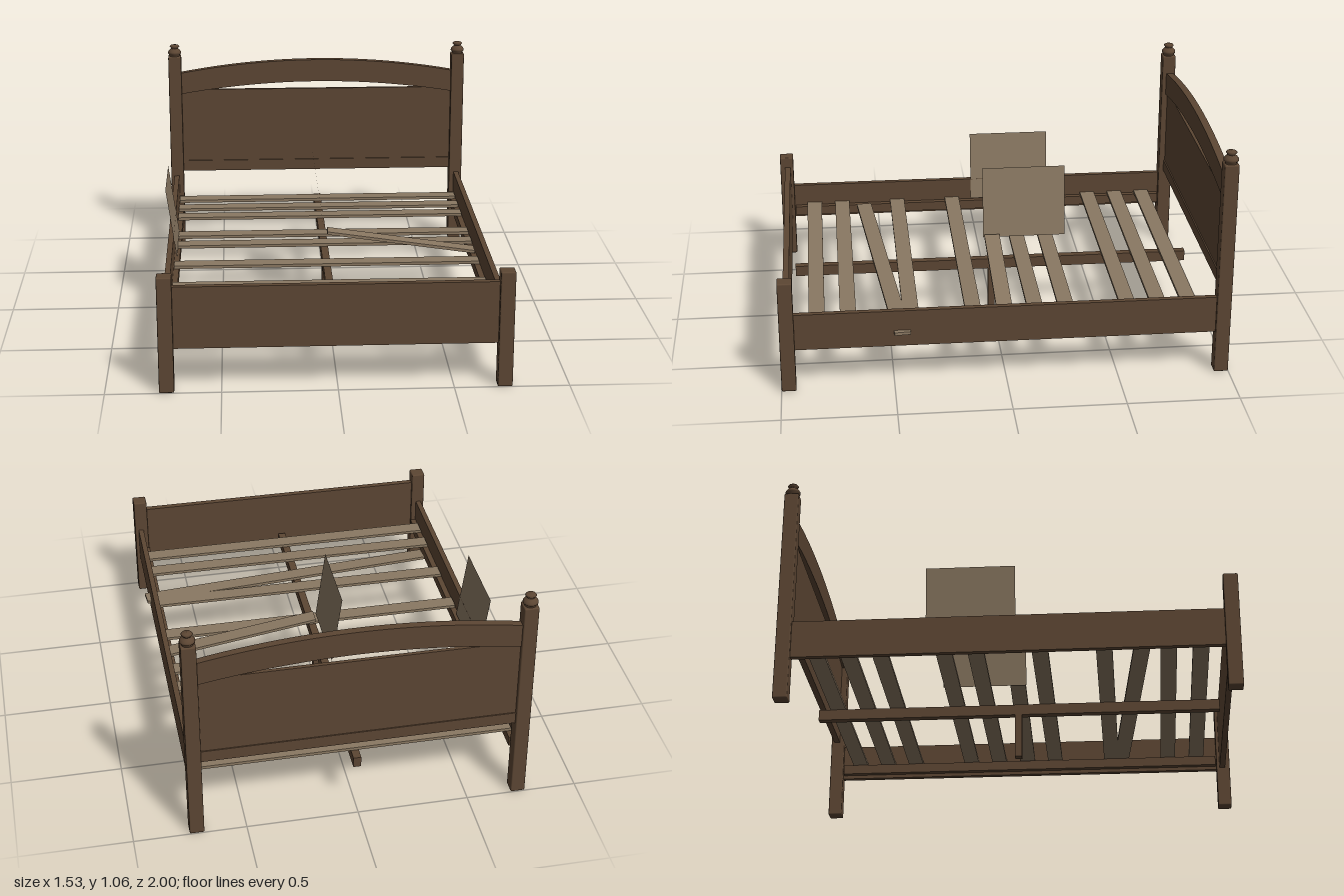
import * as THREE from 'three';
import { RoundedBoxGeometry } from 'three/addons/geometries/RoundedBoxGeometry.js';

export function createModel() {
  const bed = new THREE.Group();
  bed.name = 'bed';
  const wood = new THREE.MeshStandardMaterial({ color: 0x5c4633 });
  const pale = new THREE.MeshStandardMaterial({ color: 0x8a7862 });
  const paleThin = new THREE.MeshStandardMaterial({ color: 0x8a7862, side: THREE.DoubleSide });

  const add = (name, geometry, material, x = 0, y = 0, z = 0) => {
    const mesh = new THREE.Mesh(geometry, material);
    mesh.name = name;
    mesh.position.set(x, y, z);
    bed.add(mesh);
    return mesh;
  };
  // box given by its limits on each axis
  const box = (name, [x0, x1], [y0, y1], [z0, z1], material = wood) =>
    add(name, new THREE.BoxGeometry(x1 - x0, y1 - y0, z1 - z0), material,
      (x0 + x1) / 2, (y0 + y1) / 2, (z0 + z1) / 2);

  const midX = -0.0075, postX = 0.7275;
  const inner = [-0.705, 0.69];

  // Finial profile, measured from the post top
  const finial = [[0.026, 0], [0.026, 0.006], [0.034, 0.014], [0.033, 0.022], [0.026, 0.032],
    [0.017, 0.038], [0.018, 0.042], [0.025, 0.05], [0.02, 0.056], [0, 0.06]]
    .map(([r, y]) => new THREE.Vector2(r, y));

  for (const side of [-1, 1]) {
    const x = midX + side * postX;
    // Corner posts
    add('headPost', new RoundedBoxGeometry(0.065, 1.0, 0.065, 2, 0.006), wood, x, 0.5, -0.967);
    add('footPost', new RoundedBoxGeometry(0.065, 0.525, 0.065, 2, 0.006), wood, x, 0.2625, 0.967);
    add('finial', new THREE.LatheGeometry(finial, 16), wood, x, 1.0, -0.967);
    // Side rail with the ledge that carries the slats
    const across = (a, b) => [midX + side * a, midX + side * b].sort((p, q) => p - q);
    box('sideRail', across(0.718, 0.743), [0.195, 0.365], [-0.937, 0.937]);
    box('slatLedge', across(0.692, 0.718), [0.212, 0.257], [-0.93, 0.93]);
  }

  // Headboard: panel, lower rail and arched top rail
  box('headboardPanel', inner, [0.4, 0.82], [-0.98, -0.963]);
  box('headboardLowerRail', inner, [0.385, 0.44], [-0.985, -0.957]);
  const arch = new THREE.Shape();
  arch.moveTo(inner[0], 0.8);
  arch.quadraticCurveTo(midX, 0.92, inner[1], 0.8);
  arch.lineTo(inner[1], 0.91);
  arch.quadraticCurveTo(midX, 1.038, inner[0], 0.91);
  arch.closePath();
  add('headboardArch', new THREE.ExtrudeGeometry(arch,
    { depth: 0.034, bevelEnabled: false, curveSegments: 24 }), wood, 0, 0, -0.988);

  // Footboard
  box('footboardPanel', inner, [0.195, 0.475], [0.949, 0.976]);

  // Centre beam and its leg
  box('centreBeam', [-0.025, 0.01], [0.207, 0.257], [-0.935, 0.93]);
  box('centreLeg', [-0.025, 0.01], [0, 0.21], [-0.016, 0.016]);

  // Slats, with two gaps in the row
  const slatWidth = 0.072, slatThick = 0.014, slatY = 0.264;
  const slat = (length) => new THREE.BoxGeometry(length, slatThick, slatWidth);
  for (const z of [-0.845, -0.705, -0.565, -0.285, -0.145, 0.135, 0.415, 0.695, 0.835])
    add('slat', slat(1.43), pale, midX, slatY, z);

  // Slat knocked askew
  add('looseSlat', slat(1.44), pale, 0.04, slatY, 0.523).rotation.y = 0.087;

  // Half of a broken slat, its snapped end raised
  add('brokenSlat', slat(0.71), pale, 0.352, 0.32, -0.003).rotation.z = -0.15;

  // Two thin leaning boards
  for (const [x, y] of [[-0.735, 0.432], [-0.035, 0.528]]) {
    const board = add('leaningBoard', new THREE.PlaneGeometry(0.39, 0.338), paleThin, x, y, -0.158);
    board.rotation.set(0, Math.PI / 2, 0.137, 'ZYX');
  }
  return bed;
}
